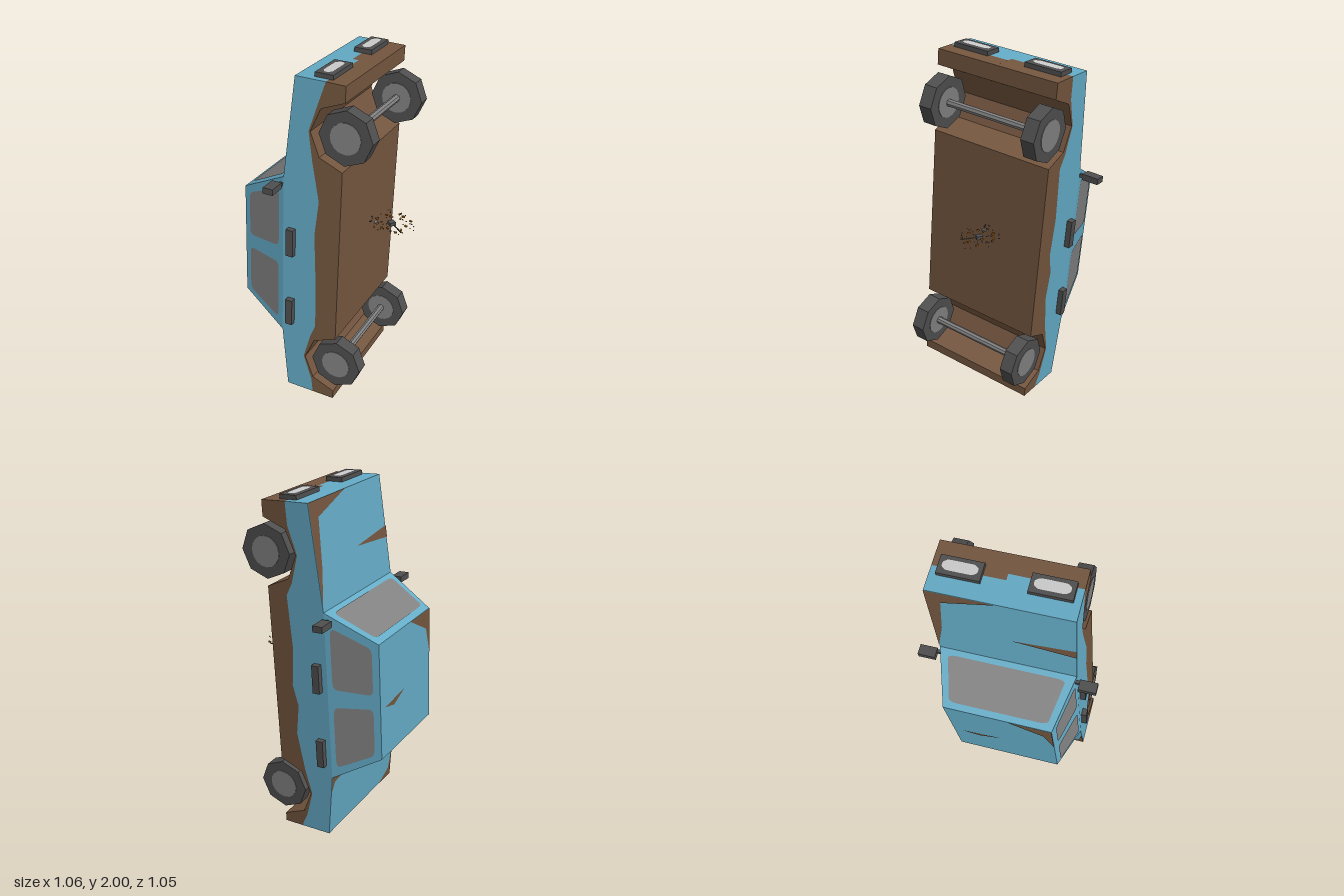
import * as THREE from 'three';

const mat = (name, color) => Object.assign(new THREE.MeshStandardMaterial({ color }), { name });

export function createModel() {
  const blue = mat('bluePaint', 0x64abc6), rust = mat('rustBrown', 0x74563f);
  const dark = mat('darkGrey', 0x4f4f4f), grey = mat('midGrey', 0x818181);
  const white = mat('lampWhite', 0xcccccc), red = mat('lampRed', 0xa03428);
  const orange = mat('orangeBits', 0xa8661c);

  const model = new THREE.Group();
  const car = new THREE.Group();
  car.name = 'car';
  model.add(car);

  const add = (name, geo, material, x = 0, y = 0, z = 0, parent = car) => {
    const m = new THREE.Mesh(geo, material);
    m.name = name;
    m.position.set(x, y, z);
    parent.add(m);
    return m;
  };
  const box = (name, w, h, d, material, x, y, z, parent) =>
    add(name, new THREE.BoxGeometry(w, h, d), material, x, y, z, parent);
  const flat = (geo) => {
    const g = geo.toNonIndexed();
    g.computeVertexNormals();
    return g;
  };

  // polygon with optional rounded corners
  const polygon = (pts, k = 0) => {
    const s = new THREE.Shape();
    if (!k) return s.setFromPoints(pts.map((p) => new THREE.Vector2(...p)));
    const v = pts.map((p) => new THREE.Vector2(...p)), n = v.length;
    v.forEach((p, i) => {
      const a = p.clone().lerp(v[(i + n - 1) % n], k), b = p.clone().lerp(v[(i + 1) % n], k);
      if (i) s.lineTo(a.x, a.y); else s.moveTo(a.x, a.y);
      s.quadraticCurveTo(p.x, p.y, b.x, b.y);
    });
    s.closePath();
    return s;
  };

  // flat patch laid on a four-cornered face, its outline given in 0..1 face coordinates
  const UNIT = [[0, 0], [1, 0], [1, 1], [0, 1]];
  const panel = (name, quad, material, pts = UNIT, k = 0, lift = 0) => {
    const [A, B, C, D] = quad.map((q) => new THREE.Vector3(...q));
    const n = B.clone().sub(A).cross(D.clone().sub(A)).normalize();
    const g = new THREE.ShapeGeometry(polygon(pts, k), 4);
    const p = g.attributes.position;
    for (let i = 0; i < p.count; i++) {
      const s = p.getX(i), t = p.getY(i);
      const v = A.clone().lerp(B, s).lerp(D.clone().lerp(C, s), t).addScaledVector(n, lift);
      p.setXYZ(i, v.x, v.y, v.z);
    }
    g.computeVertexNormals();
    return add(name, g, material);
  };

  // body: side profile as [z, y], split by a wavy rust line that differs on each half
  const W = 0.367, FRONT = 0.679, REAR = -0.71;
  const arch = (c) => [4, 3, 2, 1, 0].map((i) => {
    const a = (i * Math.PI) / 4;
    return [c + 0.183 * Math.cos(a), -0.18 + 0.183 * Math.sin(a)];
  });
  const underside = [[-0.945, -0.18], ...arch(REAR), ...arch(FRONT), [0.948, -0.18]];
  const topLine = [[0.95, 0.093], [0.395, 0.151], [-0.57, 0.151], [-0.945, 0.111]];
  const leftRust = [[0.95, -0.04], [0.83, -0.035], [FRONT, 0.012], [0.53, -0.03], [0.46, -0.067], [0.16, -0.05],
    [-0.05, -0.069], [-0.17, -0.04], [-0.34, -0.062], [-0.56, -0.025], [REAR, 0.012], [-0.86, -0.03], [-0.945, -0.07]];
  const rightRust = [[0.95, -0.074], [0.83, -0.035], [FRONT, 0.012], [0.52, -0.012], [0.3, -0.055], [0.1, -0.035],
    [-0.2, -0.05], [-0.48, -0.055], [-0.56, -0.025], [REAR, 0.012], [-0.86, -0.04], [-0.945, -0.051]];
  const half = (name, pts, material, x) => {
    const g = new THREE.ExtrudeGeometry(polygon(pts), { depth: W, bevelEnabled: false });
    g.rotateY(-Math.PI / 2);
    add(name, g, material, x);
  };
  for (const [side, line, x] of [['left', leftRust, W], ['right', rightRust, 0]]) {
    half(side + 'LowerBody', [...underside, ...line], rust, x);
    half(side + 'UpperBody', [...[...line].reverse(), ...topLine], blue, x);
  }

  // cabin faces
  const T = 0.296, y0 = 0.151, y1 = 0.425, bf = 0.395, br = -0.57, tf = 0.241, tr = -0.421;
  const screen = [[-W, y0, bf], [W, y0, bf], [T, y1, tf], [-T, y1, tf]];
  const back = [[W, y0, br], [-W, y0, br], [-T, y1, tr], [T, y1, tr]];
  const leftSide = [[W, y0, bf], [W, y0, br], [T, y1, tr], [T, y1, tf]];
  const rightSide = [[-W, y0, br], [-W, y0, bf], [-T, y1, tf], [-T, y1, tr]];
  const roof = [[-T, y1, tf], [T, y1, tf], [T, y1, tr], [-T, y1, tr]];
  const hood = [[-W, 0.093, 0.95], [W, 0.093, 0.95], [W, y0, bf], [-W, y0, bf]];
  const trunk = [[-W, y0, br], [W, y0, br], [W, 0.111, -0.945], [-W, 0.111, -0.945]];
  panel('windshieldFrame', screen, blue);
  panel('rearWindowFrame', back, blue);
  panel('leftCabinSide', leftSide, blue);
  panel('rightCabinSide', rightSide, blue);
  panel('roof', roof, blue);

  // windows
  const rect = (a, b, c, d) => [[a, c], [b, c], [b, d], [a, d]];
  panel('windshield', screen, grey, rect(0.06, 0.94, 0.1, 0.88), 0.08, 0.004);
  panel('rearWindow', back, grey, rect(0.08, 0.92, 0.1, 0.87), 0.08, 0.004);
  for (const [a, b] of [[0.065, 0.437], [0.55, 0.942]]) {
    panel('leftWindow', leftSide, grey, rect(a, b, 0.1, 0.87), 0.13, 0.004);
    panel('rightWindow', rightSide, grey, rect(1 - b, 1 - a, 0.1, 0.87), 0.13, 0.004);
  }

  // rust patches
  const patches = [
    [hood, [[1, 0], [0.52, 0], [0.9, 0.15], [0.94, 0.6], [1, 0.95]]],
    [hood, [[0, 0.51], [0, 0.63], [0.45, 0.57]]],
    [roof, [[0, 0], [0.4, 0], [0.08, 0.16], [0, 0.42]]],
    [roof, [[0.92, 0.56], [0.53, 0.53], [0.75, 0.6]]],
    [trunk, [[0, 1], [0.2, 1], [0.04, 0.85], [0, 0.4]]],
    [trunk, [[1, 0], [0.5, 0], [0.96, 0.1], [1, 0.25]]],
  ];
  for (const [face, pts] of patches) panel('rustPatch', face, rust, pts, 0, 0.003);

  // axles and wheels
  const cyl = (r, len, n) => flat(new THREE.CylinderGeometry(r, r, len, n).rotateZ(Math.PI / 2));
  for (const z of [FRONT - 0.002, REAR + 0.005]) {
    add('axle', cyl(0.021, 0.6, 8), grey, 0, -0.185, z);
    for (const s of [-1, 1]) {
      add('wheel', cyl(0.147, 0.078, 8), dark, s * 0.319, -0.185, z);
      add('hubDisc', cyl(0.084, 0.084, 16), grey, s * 0.319, -0.185, z);
    }
  }

  for (const s of [-1, 1]) {
    // lamps
    const x = s * 0.222, y = -0.045;
    box('headlightFrame', 0.216, 0.1, 0.05, dark, x, y, 0.949);
    panel('headlightLens', [[x - 0.088, y - 0.028, 0.974], [x + 0.088, y - 0.028, 0.974],
      [x + 0.088, y + 0.028, 0.974], [x - 0.088, y + 0.028, 0.974]], white,
    [[0, 0.3], [0.12, 0], [0.88, 0], [1, 0.3], [1, 0.7], [0.88, 1], [0.12, 1], [0, 0.7]], 0.2, 0.003);
    box('tailLightFrame', 0.216, 0.1, 0.05, dark, x, y, -0.948);
    panel('tailLightLens', [[x + 0.085, y - 0.03, -0.973], [x - 0.085, y - 0.03, -0.973],
      [x - 0.085, y + 0.03, -0.973], [x + 0.085, y + 0.03, -0.973]], red, UNIT, 0.08, 0.003);
    // door handles
    for (const z of [0.025, -0.42]) box('doorHandle', 0.04, 0.042, 0.16, dark, s * 0.378, 0.098, z);
    // wing mirrors
    box('mirrorArm', 0.06, 0.018, 0.018, dark, s * 0.37, 0.165, 0.35);
    box('mirror', 0.095, 0.057, 0.034, dark, s * 0.432, 0.18, 0.35);
  }

  // car stands nose-up, turned and slightly tilted
  const F = new THREE.Vector3(0.0675, 0.996, -0.057).normalize();
  const U = F.clone().cross(new THREE.Vector3(0.776, -0.087, -0.624)).normalize();
  const L = U.clone().cross(F);
  car.quaternion.setFromRotationMatrix(new THREE.Matrix4().makeBasis(L, U, F));
  car.position.set(-0.005, 1, 0.004);

  // small cloud of loose bits beside the underside
  const debris = new THREE.Group();
  debris.name = 'debris';
  debris.position.set(0.228, 1.035, 0.2);
  model.add(debris);
  let seed = 7;
  const rnd = () => (seed = (seed * 16807) % 2147483647) / 2147483647;
  box('debrisCore', 0.034, 0.02, 0.034, dark, 0, 0, 0, debris);
  box('debrisSlab', 0.028, 0.008, 0.014, grey, -0.075, 0, -0.045, debris).rotation.y = 0.7;
  for (let i = 0; i < 14; i++) {
    const a = i * 2.4, r = 0.055 + 0.055 * rnd();
    box('orangeBit', 0.016, 0.008, 0.009, orange, r * Math.cos(a), (rnd() - 0.5) * 0.03, r * Math.sin(a), debris)
      .rotation.y = rnd() * 3;
  }
  for (let i = 0; i < 40; i++) {
    box('greyBit', 0.005, 0.005, 0.005, i % 2 ? dark : grey,
      (rnd() - 0.5) * 0.21, (rnd() - 0.5) * 0.045, (rnd() - 0.5) * 0.21, debris);
  }
  for (let i = 0; i < 8; i++) box('trailBit', 0.007, 0.005, 0.005, dark, 0.002, 0, 0.03 + i * 0.01, debris);

  return model;
}
